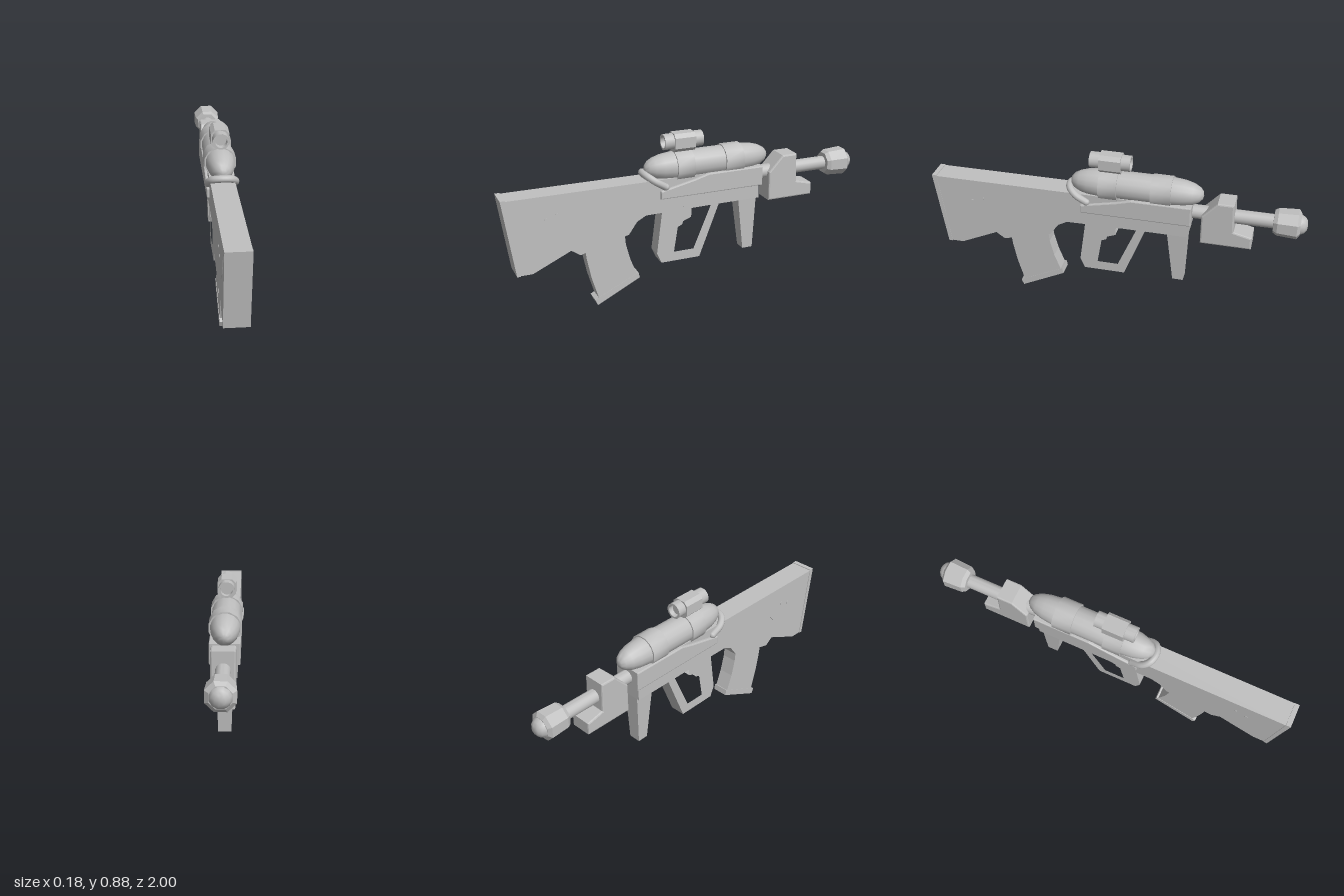
import * as THREE from 'three';
import { toCreasedNormals } from 'three/addons/utils/BufferGeometryUtils.js';

export function createModel() {
  const model = new THREE.Group();
  const grey = new THREE.MeshStandardMaterial({ color: 0xc0c0c0 });
  grey.name = 'grey';

  const add = (name, geometry) => {
    const mesh = new THREE.Mesh(geometry, grey);
    mesh.name = name;
    model.add(mesh);
    return mesh;
  };
  const toPoints = list => list.map(([a, b]) => new THREE.Vector2(a, b));

  // Side profile in [z, y] extruded across x, centred on x = 0
  const slab = (name, outline, halfWidth, { hole, bevel = 0 } = {}) => {
    const shape = new THREE.Shape(toPoints(outline));
    if (hole) shape.holes.push(new THREE.Path(toPoints(hole)));
    const depth = 2 * (halfWidth - bevel);
    const g = new THREE.ExtrudeGeometry(shape, {
      depth, bevelEnabled: bevel > 0, bevelSize: bevel, bevelThickness: bevel,
      bevelOffset: -bevel, bevelSegments: 2,
    });
    g.translate(0, 0, -depth / 2).rotateY(-Math.PI / 2);
    return add(name, g);
  };

  // Turned part along z: profile in [z, radius] with z ascending
  const turned = (name, profile, y, sides = 16, crease = 0.6) => {
    const g = new THREE.LatheGeometry(
      profile.map(([z, r]) => new THREE.Vector2(r, z)), sides, Math.PI / sides);
    g.rotateX(Math.PI / 2).translate(0, y, 0);
    return add(name, toCreasedNormals(g, crease));
  };

  // Stock and body: core plus a slightly wider upper shell with a wavy seam
  slab('stockBody', [
    [0.99, 0.653], [0.935, 0.25], [0.86, 0.25], [0.657, 0.343], [0.61, 0.31],
    [0.346, 0.38], [0.3, 0.445], [0.25, 0.472], [-0.4, 0.48], [-0.4, 0.653],
  ], 0.06);
  slab('upperShell', [
    [0.975, 0.656], [0.94, 0.61], [0.88, 0.49], [0.82, 0.435], [0.74, 0.42],
    [0.68, 0.435], [0.61, 0.52], [0.54, 0.555], [0.4, 0.55], [0.31, 0.575],
    [0.2, 0.55], [0.1, 0.52], [0.06, 0.515], [0.03, 0.478], [-0.4, 0.478], [-0.4, 0.656],
  ], 0.063);
  slab('buttPad', [[1, 0.66], [0.942, 0.248], [0.922, 0.248], [0.975, 0.66]], 0.063);
  for (const [z, y] of [[0.78, 0.53], [0.72, 0.55]]) {
    const pin = add('stockPin', new THREE.CylinderGeometry(0.009, 0.009, 0.13, 10).rotateZ(Math.PI / 2));
    pin.position.set(0, y, z);
  }

  // Curved magazine with a side groove and a base plate
  const magazine = [
    [0.58, 0.34], [0.572, 0.27], [0.55, 0.16], [0.515, 0.04],
    [0.3, 0.14], [0.335, 0.23], [0.358, 0.32], [0.365, 0.4],
  ];
  slab('magazineCore', magazine, 0.034);
  slab('magazine', magazine, 0.041, {
    hole: [[0.487, 0.35], [0.467, 0.23], [0.43, 0.122], [0.408, 0.13], [0.445, 0.24], [0.466, 0.35]],
  });
  slab('magazineBase', [[0.535, 0.03], [0.522, 0], [0.285, 0.118], [0.292, 0.148], [0.51, 0.045]], 0.043);

  // Grip joined to the guard loop
  slab('gripAndGuard', [
    [0.15, 0.5], [0.185, 0.236], [0.16, 0.18], [-0.06, 0.18], [-0.185, 0.5],
  ], 0.042, {
    hole: [
      [-0.015, 0.49], [-0.012, 0.418], [0.035, 0.4], [0.04, 0.382], [0.065, 0.372],
      [0.088, 0.232], [-0.025, 0.232], [-0.135, 0.49],
    ],
  });

  // Front leg, tapered in width toward the foot
  const leg = slab('frontLeg', [[-0.278, 0.56], [-0.325, 0.18], [-0.383, 0.18], [-0.397, 0.56]], 0.046);
  const p = leg.geometry.attributes.position;
  for (let i = 0; i < p.count; i++) {
    if (p.getY(i) < 0.3) p.setX(i, p.getX(i) * 0.72);
  }
  leg.geometry.computeVertexNormals();

  // Forend cradle
  slab('forend', [
    [0.17, 0.552], [0.17, 0.597], [-0.02, 0.638], [-0.1, 0.66], [-0.415, 0.66], [-0.415, 0.552],
  ], 0.078, { bevel: 0.006 });

  // Upper canister with domed ends and two bands
  turned('canister', [
    [-0.467, 0], [-0.463, 0.02], [-0.448, 0.038], [-0.415, 0.056], [-0.37, 0.068], [-0.3, 0.076],
    [0.08, 0.076], [0.14, 0.069], [0.185, 0.056], [0.215, 0.04], [0.231, 0.02], [0.236, 0],
  ], 0.705, 16, 0.9);
  for (const [a, b] of [[-0.305, -0.2], [-0.022, 0.075]]) {
    turned('canisterBand', [[a, 0], [a, 0.085], [b, 0.085], [b, 0]], 0.703, 12);
  }

  // Curved bar wrapped around the back of the canister
  const bar = [
    [-0.065, 0.615, 0.14], [-0.068, 0.65, 0.195], [-0.045, 0.675, 0.23], [0, 0.682, 0.242],
    [0.045, 0.675, 0.23], [0.068, 0.65, 0.195], [0.065, 0.615, 0.14],
  ].map(v => new THREE.Vector3(...v));
  add('rearBar', new THREE.TubeGeometry(new THREE.CatmullRomCurve3(bar), 24, 0.019, 10));
  for (const end of [bar[0], bar[6]]) {
    add('rearBarEnd', new THREE.SphereGeometry(0.019, 10, 8)).position.copy(end);
  }

  // Sight: hollow-ended tube, chamfered clamp block and neck
  turned('sightTube', [
    [-0.06, 0], [-0.06, 0.03], [-0.085, 0.032], [-0.085, 0.042], [-0.04, 0.042],
    [0.08, 0.042], [0.13, 0.042], [0.13, 0.032], [0.1, 0.03], [0.1, 0],
  ], 0.837, 16);
  const c = 0.028, s = 0.048;
  const clamp = new THREE.ExtrudeGeometry(new THREE.Shape(toPoints([
    [c, s], [-c, s], [-s, c], [-s, -c], [-c, -s], [c, -s], [s, -c], [s, c],
  ])), { depth: 0.115, bevelEnabled: false });
  add('sightClamp', clamp).position.set(0, 0.833, -0.037);
  add('sightNeck', new THREE.BoxGeometry(0.046, 0.06, 0.09)).position.set(0, 0.775, 0.025);

  // Barrel, front block and muzzle
  turned('barrel', [[-0.86, 0], [-0.86, 0.037], [-0.38, 0.037], [-0.38, 0]], 0.604, 16);
  slab('frontBlock', [
    [-0.465, 0.45], [-0.465, 0.61], [-0.545, 0.697], [-0.63, 0.697],
    [-0.635, 0.54], [-0.73, 0.517], [-0.73, 0.45],
  ], 0.06, { bevel: 0.008 });
  turned('muzzle', [
    [-0.965, 0], [-0.965, 0.058], [-0.95, 0.078], [-0.85, 0.08], [-0.83, 0.06], [-0.825, 0],
  ].map(([z, r]) => [z, z === -0.85 ? 0.072 : r]), 0.604, 8, 0.2);
  turned('muzzleTip', [
    [-1, 0], [-0.997, 0.025], [-0.985, 0.042], [-0.965, 0.053], [-0.95, 0.054],
  ], 0.604, 12, 1);

  return model;
}
